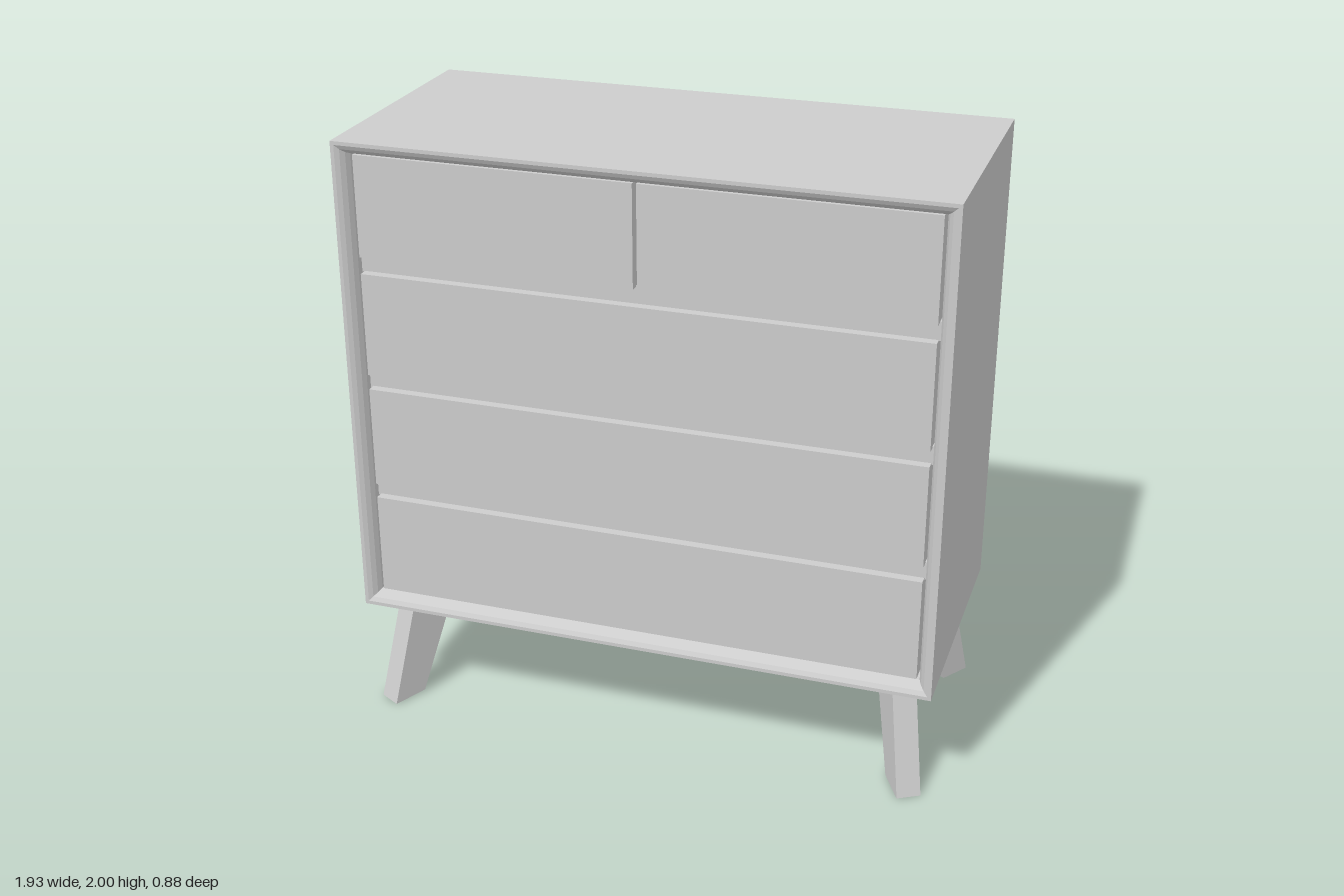
import * as THREE from 'three';

const W = 0.967, Y0 = 0.385, Y1 = 2, ZB = -0.44, ZF = 0.438;

// Closed shell lofted through rectangles given as [inset, z], back to front
function loftRectangles(rings) {
  const pos = [], idx = [];
  for (const [inset, z] of rings) {
    const x = W - inset, b = Y0 + inset, t = Y1 - inset;
    pos.push(-x, b, z, x, b, z, x, t, z, -x, t, z);
  }
  for (let r = 0; r < rings.length - 1; r++) {
    for (let i = 0; i < 4; i++) {
      const a = r * 4 + i, b = r * 4 + (i + 1) % 4;
      idx.push(a, b, b + 4, a, b + 4, a + 4);
    }
  }
  const e = (rings.length - 1) * 4;
  idx.push(0, 2, 1, 0, 3, 2, e, e + 1, e + 2, e, e + 2, e + 3);
  const g = new THREE.BufferGeometry();
  g.setAttribute('position', new THREE.Float32BufferAttribute(pos, 3));
  g.setIndex(idx);
  const flat = g.toNonIndexed();
  flat.computeVertexNormals();
  return flat;
}

export function createModel() {
  const model = new THREE.Group();
  model.name = 'chestOfDrawers';
  const grey = new THREE.MeshStandardMaterial({ color: 0xcccccc });
  grey.name = 'lightGrey';

  const add = (name, geometry) => {
    const mesh = new THREE.Mesh(geometry, grey);
    mesh.name = name;
    model.add(mesh);
    return mesh;
  };
  // Box from its limits
  const box = (name, x0, x1, y0, y1, z0, z1) => {
    const mesh = add(name, new THREE.BoxGeometry(x1 - x0, y1 - y0, z1 - z0));
    mesh.position.set((x0 + x1) / 2, (y0 + y1) / 2, (z0 + z1) / 2);
  };

  // Carcass with a bevelled front rim and a shallow recess
  add('carcass', loftRectangles([
    [0, ZB], [0, ZF], [0.012, ZF], [0.026, 0.43], [0.038, 0.416], [0.046, 0.398], [0.046, 0.34],
  ]));

  // Drawer fronts: two small ones above three wide ones
  const D = 0.912, zBack = 0.335, zFront = 0.405;
  box('topDrawerRight', -D, -0.01, 1.62, 1.952, zBack, zFront);
  box('topDrawerLeft', 0.003, D, 1.62, 1.952, zBack, zFront);
  for (const [lo, hi] of [[1.22, 1.565], [0.83, 1.17], [0.435, 0.78]]) {
    box('wideDrawer', -D, D, lo, hi, zBack, zFront);
  }

  // Rails set back in the gaps between drawers
  for (const y of [0.805, 1.195, 1.5925]) {
    box('drawerRail', -0.921, 0.921, y - 0.03, y + 0.03, zBack, 0.375);
  }

  // Apron frame under the carcass
  const ax = 0.81, az = 0.298, t = 0.035, ay = 0.295;
  for (const s of [-1, 1]) {
    const zc = s * (az - t / 2), xc = s * (ax - t / 2);
    box('longApron', -ax, ax, ay, Y0, zc - t / 2, zc + t / 2);
    box('shortApron', xc - t / 2, xc + t / 2, ay, Y0, -az + t, az - t);
  }

  // Splayed legs: tapered profile, turned outward at each corner
  const profile = new THREE.Shape();
  profile.moveTo(0, 0);
  profile.lineTo(-0.107, Y0);
  profile.lineTo(-0.3, Y0);
  profile.quadraticCurveTo(-0.26, 0.33, -0.235, 0.28);
  profile.lineTo(-0.12, 0.008);
  profile.closePath();
  const legGeometry = new THREE.ExtrudeGeometry(profile, { depth: 0.08, bevelEnabled: false, curveSegments: 6 });
  legGeometry.translate(0, 0, -0.04);
  for (const sx of [-1, 1]) {
    for (const sz of [-1, 1]) {
      const leg = add(`${sz > 0 ? 'front' : 'back'}${sx > 0 ? 'Left' : 'Right'}Leg`, legGeometry);
      leg.position.set(sx * 0.9125, 0, sz * 0.42);
      leg.rotation.y = -Math.atan2(sz * 0.87, sx * 0.5);
    }
  }
  return model;
}
